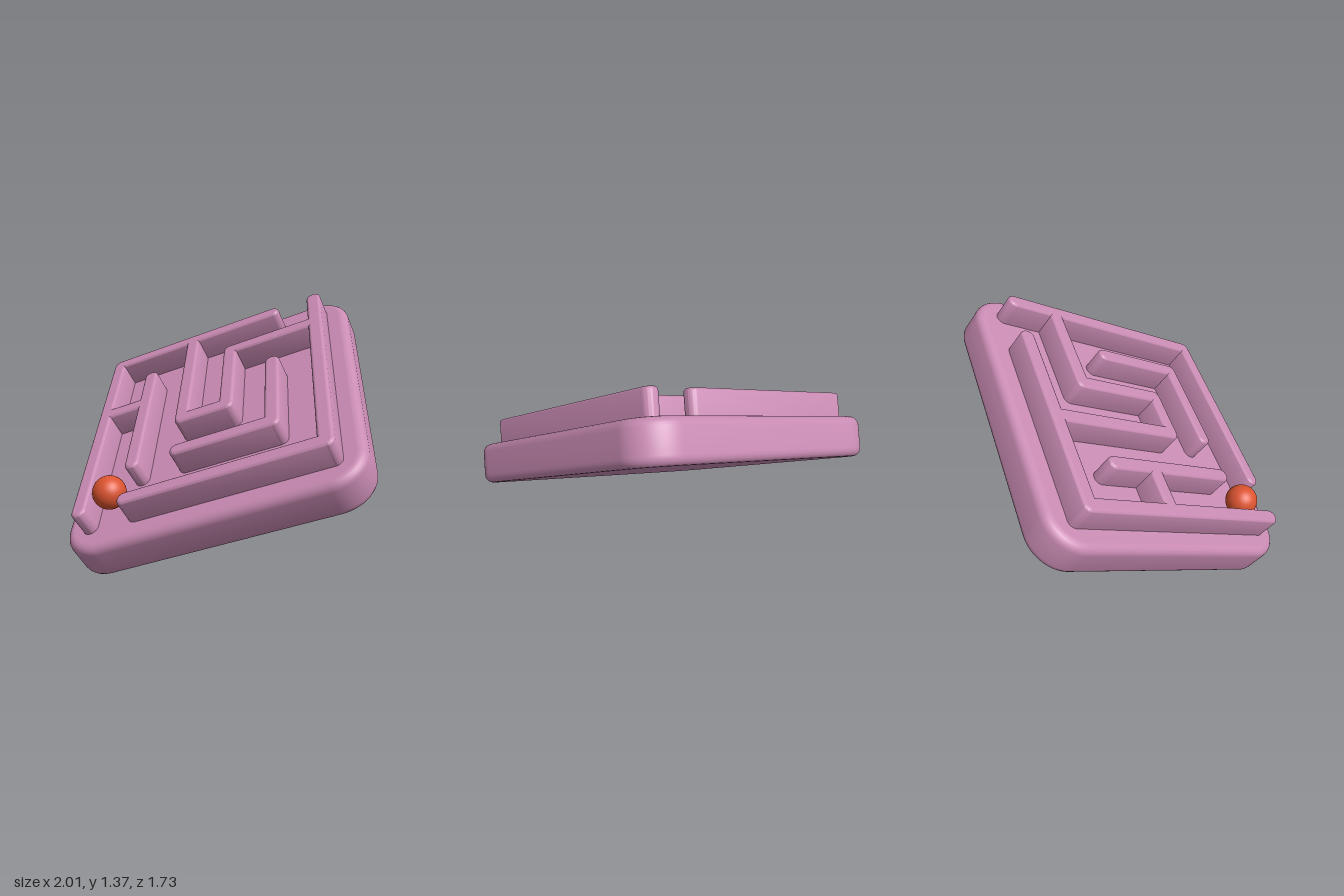
import * as THREE from 'three';
import { toCreasedNormals } from 'three/addons/utils/BufferGeometryUtils.js';

const PLATE_HALF = 0.775, PLATE_RADIUS = 0.19, PLATE_THICK = 0.21;
const WALL_HEIGHT = 0.135, WALL_WIDTH = 0.08;
const CELL = 0.25, BALL_RADIUS = 0.085;

// Rounded slab (w along x, d along z) with soft edges, spanning y0..y1
function slab(w, d, radius, y0, y1, bevel) {
  const x = w / 2 - bevel, y = d / 2 - bevel, r = radius - bevel;
  const s = new THREE.Shape();
  s.absarc(x - r, y - r, r, 0, Math.PI / 2);
  s.absarc(-x + r, y - r, r, Math.PI / 2, Math.PI);
  s.absarc(-x + r, -y + r, r, Math.PI, Math.PI * 1.5);
  s.absarc(x - r, -y + r, r, Math.PI * 1.5, Math.PI * 2);
  let geo = new THREE.ExtrudeGeometry(s, {
    depth: y1 - y0 - 2 * bevel, bevelSize: bevel, bevelThickness: bevel,
    bevelSegments: 5, curveSegments: 10,
  });
  geo.rotateX(-Math.PI / 2).translate(0, y0 + bevel, 0);
  geo = toCreasedNormals(geo, 0.7);

  // Keep the two flat faces truly flat
  const p = geo.attributes.position, n = geo.attributes.normal;
  for (let i = 0; i < p.count; i += 3) {
    for (const [level, ny] of [[y0, -1], [y1, 1]]) {
      if ([0, 1, 2].every((k) => Math.abs(p.getY(i + k) - level) < 1e-5)) {
        for (let k = 0; k < 3; k++) n.setXYZ(i + k, 0, ny, 0);
      }
    }
  }
  return geo;
}

export function createModel() {
  const pink = new THREE.MeshStandardMaterial({ name: 'mauve pink', color: 0xc98bb3 });
  const orange = new THREE.MeshStandardMaterial({ name: 'orange red', color: 0xdc5430 });
  const model = new THREE.Group();
  model.name = 'mazePuzzle';

  const board = new THREE.Group();
  board.name = 'tiltedBoard';
  model.add(board);

  // Base plate
  const top = PLATE_THICK / 2;
  const plate = new THREE.Mesh(
    slab(PLATE_HALF * 2, PLATE_HALF * 2, PLATE_RADIUS, -top, top, 0.045), pink);
  plate.name = 'basePlate';
  board.add(plate);

  // Maze walls as paths over a 5 x 5 grid: [column, row] of the grid corners
  const walls = {
    leftWall: [[0, 0], [0, 5]],
    backWall: [[0, 0], [4, 0]],
    rightAndFrontWall: [[5, 0], [5, 5], [1, 5]],
    windingWall: [[2, 0], [2, 3], [3, 3], [3, 1], [5, 1]],
    hookWall: [[4, 2], [4, 4], [2, 4]],
    longInnerWall: [[1, 1], [1, 4]],
    shortLinkWall: [[0, 2], [1, 2]],
  };
  for (const [name, path] of Object.entries(walls)) {
    const wall = new THREE.Group();
    wall.name = name;
    for (let i = 1; i < path.length; i++) {
      const [c0, r0] = path[i - 1], [c1, r1] = path[i];
      const part = new THREE.Mesh(slab(
        Math.abs(c1 - c0) * CELL + WALL_WIDTH, Math.abs(r1 - r0) * CELL + WALL_WIDTH,
        WALL_WIDTH / 2, top - 0.04, top + WALL_HEIGHT, 0.018), pink);
      part.name = 'wallSegment';
      part.position.set(((c0 + c1) / 2 - 2.5) * CELL, 0, ((r0 + r1) / 2 - 2.5) * CELL);
      wall.add(part);
    }
    board.add(wall);
  }

  // Ball waiting at the entrance
  const ball = new THREE.Mesh(new THREE.SphereGeometry(BALL_RADIUS, 40, 28), orange);
  ball.name = 'ball';
  ball.position.set(-2 * CELL, top + BALL_RADIUS, 2 * CELL);
  board.add(ball);

  // Turn the board in its plane, then tip it towards the front
  board.rotation.set(THREE.MathUtils.degToRad(35.5), THREE.MathUtils.degToRad(34.7), 0);
  board.position.set(0, 0.65, -0.003);
  return model;
}
